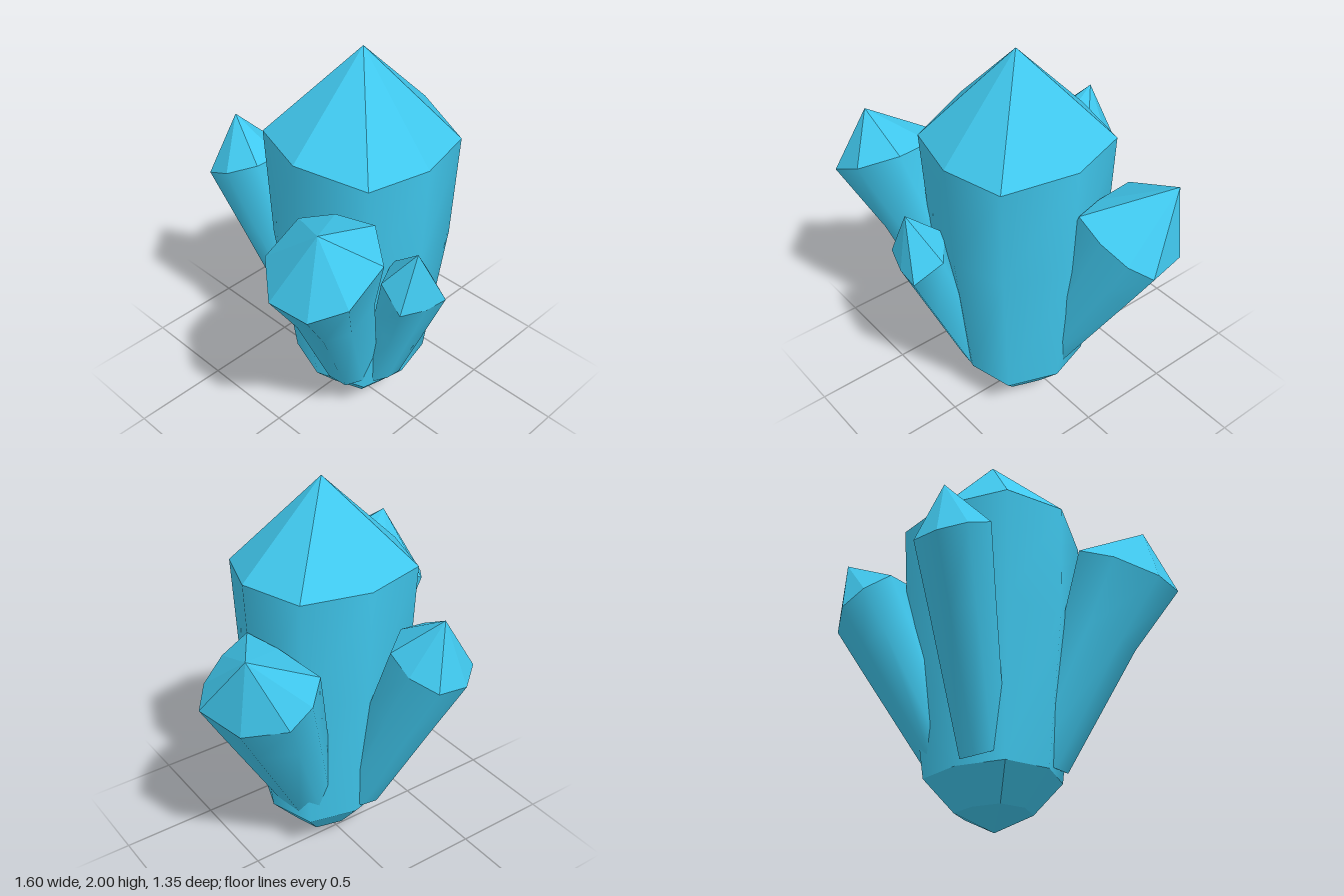
import * as THREE from 'three';

const V = (x, y, z) => new THREE.Vector3(x, y, z);
const material = new THREE.MeshStandardMaterial({ color: 0x40c8ee });

// Skin a stack of rings (bottom to top); a ring of one point closes to an apex
function loft(rings, flat) {
  const pos = [], index = [], starts = [];
  for (const ring of rings) {
    starts.push(pos.length / 3);
    for (const p of ring) pos.push(p.x, p.y, p.z);
  }
  for (let r = 0; r < rings.length - 1; r++) {
    const a = rings[r].length, b = rings[r + 1].length, n = Math.max(a, b);
    for (let i = 0; i < n; i++) {
      const j = (i + 1) % n;
      const l0 = starts[r] + (i % a), l1 = starts[r] + (j % a);
      const u0 = starts[r + 1] + (i % b), u1 = starts[r + 1] + (j % b);
      if (a > 1) index.push(l0, l1, u1);
      if (b > 1) index.push(l0, u1, u0);
    }
  }
  let geo = new THREE.BufferGeometry();
  geo.setAttribute('position', new THREE.Float32BufferAttribute(pos, 3));
  geo.setIndex(index);
  if (flat) geo = geo.toNonIndexed();
  geo.computeVertexNormals();
  return geo;
}

function addPart(group, name, rings, flat) {
  const mesh = new THREE.Mesh(loft(rings, flat), material);
  mesh.name = name;
  group.add(mesh);
}

// Copy a ring about a new centre at another scale
const moved = (ring, from, to, s) => ring.map((p) => p.clone().sub(from).multiplyScalar(s).add(to));

// Leaning crystal: shoulder outline in x,z on a tilted plane, tapering to a root
function leaningCrystal({ name, outline, centre, tilt, tip, root, rootScale, waist, waistScale }) {
  const group = new THREE.Group();
  group.name = name;
  const c = V(...centre), b = V(...root);
  const shoulder = outline.map(([x, z]) => V(x, c.y + tilt[0] * (x - c.x) + tilt[1] * (z - c.z), z));
  const middle = moved(shoulder, c, b.clone().lerp(c, waist), waistScale);
  const base = moved(shoulder, c, b, rootScale);
  addPart(group, name + 'Root', [[b], base], true);
  addPart(group, name + 'Shaft', [base, middle, shoulder], false);
  addPart(group, name + 'Tip', [shoulder, [V(...tip)]], true);
  return group;
}

// Upright central crystal with a rounded, faceted foot
function mainCrystal() {
  const group = new THREE.Group();
  group.name = 'mainCrystal';
  const outline = [[0.02, 0.495], [0.33, 0.42], [0.456, 0.085], [0.355, -0.23],
    [0.02, -0.315], [-0.31, -0.23], [-0.416, 0.085], [-0.29, 0.42]];
  const ringAt = (y, s) => outline.map(([x, z]) => V(0.02 + (x - 0.02) * s, y, 0.085 + (z - 0.085) * s));
  const shoulder = ringAt(1.577, 1);
  for (const p of shoulder) if (p.z > 0.2) p.y = 1.535;
  addPart(group, 'mainFoot', [[V(0.02, 0, 0.085)], ringAt(0.09, 0.41), ringAt(0.25, 0.73)], true);
  addPart(group, 'mainShaft', [ringAt(0.25, 0.73), ringAt(1.0, 0.94), shoulder], false);
  addPart(group, 'mainTip', [shoulder, [V(0.02, 2, 0.085)]], true);
  return group;
}

export function createModel() {
  const model = new THREE.Group();
  model.name = 'crystalCluster';
  model.add(mainCrystal());

  model.add(leaningCrystal({
    name: 'rightCrystal',
    outline: [[-0.66, 0.155], [-0.8, 0.33], [-0.785, 0.55], [-0.66, 0.67],
      [-0.45, 0.665], [-0.33, 0.5], [-0.37, 0.3], [-0.46, 0.16]],
    centre: [-0.57, 1.3, 0.41], tilt: [0.53, 0], tip: [-0.65, 1.53, 0.48],
    root: [-0.17, 0.33, 0.2], rootScale: 0.5, waist: 0.65, waistScale: 0.72,
  }));

  model.add(leaningCrystal({
    name: 'leftCrystal',
    outline: [[0.45, 0.075], [0.59, 0.07], [0.72, 0.02], [0.8, -0.07], [0.73, -0.31],
      [0.56, -0.45], [0.43, -0.435], [0.33, -0.35], [0.39, -0.1]],
    centre: [0.57, 1.19, -0.2], tilt: [-0.5, 0.3], tip: [0.685, 1.45, -0.31],
    root: [0.2, 0.33, -0.02], rootScale: 0.5, waist: 0.75, waistScale: 0.88,
  }));

  model.add(leaningCrystal({
    name: 'backCrystal',
    outline: [[-0.28, -0.32], [-0.15, -0.31], [-0.02, -0.4], [-0.02, -0.54],
      [-0.1, -0.66], [-0.25, -0.675], [-0.36, -0.59], [-0.375, -0.44]],
    centre: [-0.195, 1.25, -0.49], tilt: [0, 0.45], tip: [-0.195, 1.48, -0.565],
    root: [-0.07, 0.32, -0.11], rootScale: 0.6, waist: 0.65, waistScale: 0.85,
  }));

  model.add(leaningCrystal({
    name: 'frontCrystal',
    outline: [[-0.285, 0.62], [-0.15, 0.66], [-0.025, 0.67], [0.01, 0.52], [-0.12, 0.42], [-0.25, 0.47]],
    centre: [-0.135, 0.99, 0.56], tilt: [0, -0.55], tip: [-0.16, 1.23, 0.605],
    root: [-0.07, 0.3, 0.32], rootScale: 0.6, waist: 0.6, waistScale: 0.84,
  }));

  return model;
}
